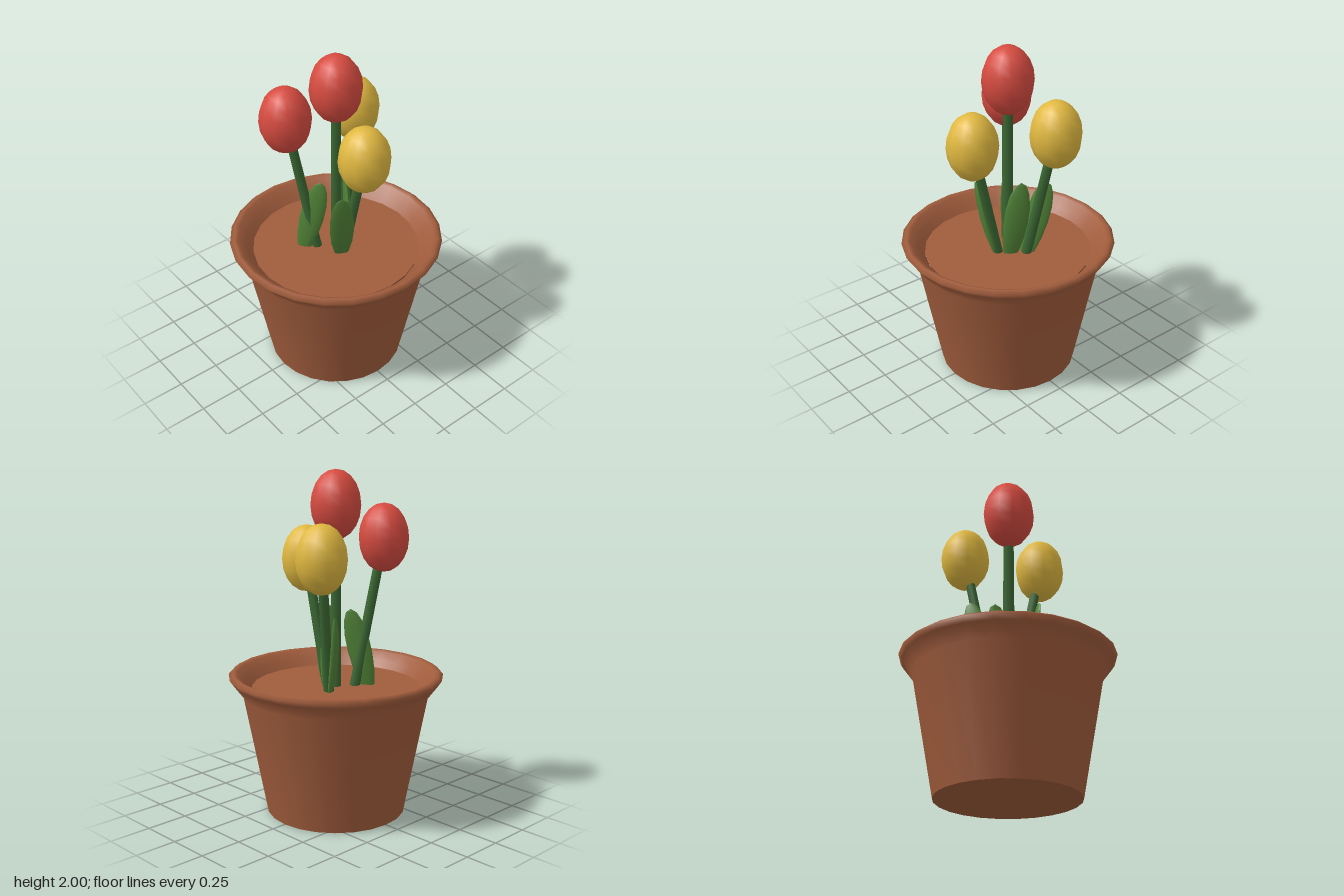
import * as THREE from 'three';

const mat = (name, color) => {
  const m = new THREE.MeshStandardMaterial({ color });
  m.name = name;
  return m;
};
const V = (x, y, z) => new THREE.Vector3(x, y, z);

export function createModel() {
  const group = new THREE.Group();
  const clay = mat('terracotta', 0xa05c3c);
  const red = mat('red petals', 0xd64b40);
  const yellow = mat('yellow petals', 0xe0b840);
  const stemGreen = mat('stem green', 0x3a6632);
  const leafGreen = mat('leaf green', 0x4f8036);

  const add = (name, geometry, material, parent = group) => {
    const mesh = new THREE.Mesh(geometry, material);
    mesh.name = name;
    parent.add(mesh);
    return mesh;
  };

  // Pot: tapered wall, flared lip and sloping inner wall
  const profile = [
    [0.41, 0], [0.545, 0.71], [0.605, 0.79], [0.625, 0.82], [0.6, 0.84],
    [0.575, 0.83], [0.53, 0.785], [0.488, 0.73],
  ].map(([r, y]) => new THREE.Vector2(r, y));
  add('pot', new THREE.LatheGeometry(profile, 24), clay);
  add('potBase', new THREE.CircleGeometry(0.41, 24).rotateX(Math.PI / 2), clay);

  // Soil disc
  add('soil', new THREE.CylinderGeometry(0.492, 0.48, 0.04, 24).translate(0, 0.727, 0), clay);

  // Tulips: leaning stem and egg-shaped bloom
  const tulip = (name, head, base, material) => {
    const flower = new THREE.Group();
    flower.name = name;
    const dir = head.clone().sub(base);
    const stem = add('stem', new THREE.CylinderGeometry(0.027, 0.03, dir.length(), 8), stemGreen, flower);
    stem.position.copy(base).lerp(head, 0.5);
    stem.quaternion.setFromUnitVectors(V(0, 1, 0), dir.normalize());
    const bloom = add('bloom', new THREE.SphereGeometry(0.147, 12, 10), material, flower);
    bloom.scale.y = 1.34;
    bloom.position.copy(head);
    group.add(flower);
  };
  tulip('tallRedTulip', V(0, 1.803, 0), V(0, 0.72, 0), red);
  tulip('backRedTulip', V(-0.22, 1.613, -0.165), V(-0.09, 0.72, -0.06), red);
  tulip('sideYellowTulip', V(0.245, 1.53, -0.14), V(0.105, 0.72, -0.05), yellow);
  tulip('frontYellowTulip', V(0, 1.475, 0.245), V(0, 0.72, 0.07), yellow);

  // Leaves: flattened spheres stretched from base to tip, bowed outward and widest above the middle
  const leaf = (base, tip, angle, bow) => {
    const g = new THREE.SphereGeometry(1, 10, 8);
    const across = V(Math.cos(angle), 0, Math.sin(angle));
    const normal = V(-Math.sin(angle), 0, Math.cos(angle));
    const p = g.attributes.position;
    for (let i = 0; i < p.count; i++) {
      const x = p.getX(i), z = p.getZ(i), t = (p.getY(i) + 1) / 2;
      const q = base.clone().lerp(tip, t)
        .addScaledVector(across, x * 0.072 * (0.85 + 0.3 * t))
        .addScaledVector(normal, z * 0.022 + bow * 4 * t * (1 - t));
      p.setXYZ(i, q.x, q.y, q.z);
    }
    g.computeVertexNormals();
    add('leaf', g, leafGreen);
  };
  leaf(V(-0.01, 0.68, 0.065), V(-0.09, 1.2, 0.16), 0.4, 0.015);
  leaf(V(0.05, 0.68, 0.03), V(0.085, 1.2, -0.03), -1.05, 0.015);
  leaf(V(0.1, 0.68, -0.04), V(0.16, 1.2, -0.155), -0.63, -0.015);
  leaf(V(-0.165, 0.68, -0.115), V(-0.08, 1.2, -0.04), 0.94, 0);

  return group;
}
